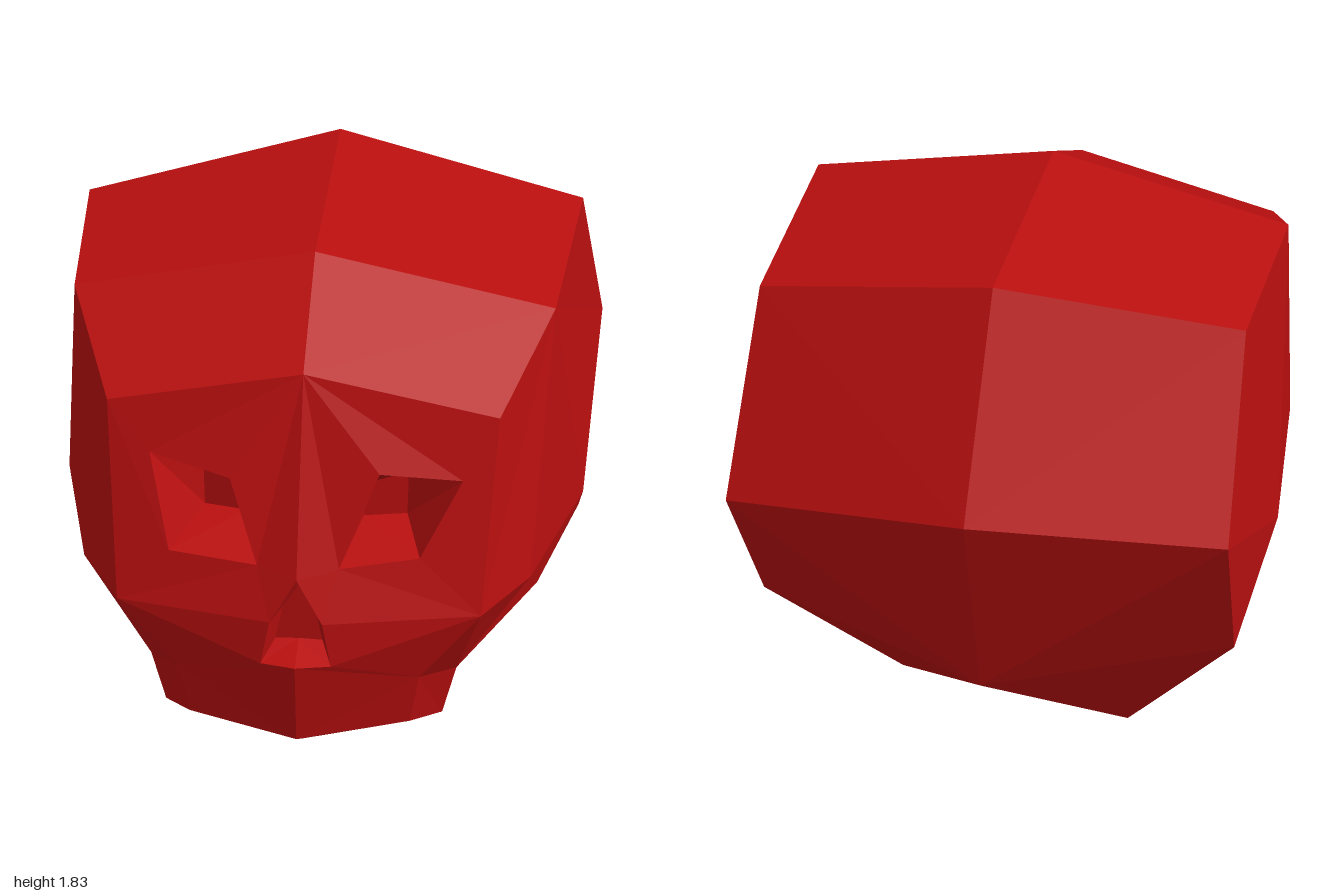
import * as THREE from 'three';

const red = new THREE.MeshStandardMaterial({ color: 0xba0f0f, flatShading: true });
red.name = 'deep red';

// Points on the centre line
const centre = {
  crown: [0, 1.83, 0.29], crownBack: [0, 1.81, -0.58], back: [0, 1.1, -1], lowBack: [0, 0.33, -0.76],
  base: [0, 0.04, -0.24], throat: [0, 0.185, 0.505], underChin: [0, 0.16, 0.7], chin: [0, 0.295, 0.94],
  lip: [0, 0.605, 1], bridge: [0, 0.915, 0.94], brow: [0, 1.585, 0.7],
  noseInTop: [0, 0.85, 0.85], noseInLow: [0, 0.64, 0.85],
};

// Points of one half; the two halves differ slightly
function halfPoints(s) {
  const left = s > 0;
  const p = {
    temple: [0.82, 1.655, 0.29], forehead: [0.67, 1.445, 0.69], cheek: [0.62, 0.76, 0.85],
    crownSide: [0.835, 1.64, left ? -0.49 : -0.38], backSide: [0.865, 1.0, left ? -0.855 : -0.76],
    ear: [0.875, 0.725, -0.09], cheekSide: [0.76, 0.755, 0.56], lowSide: [0.82, 0.44, -0.49],
    hinge: [0.735, 0.457, 0.08], jawTop: [0.52, 0.457, 0.68], baseSide: [0.41, 0, left ? -0.18 : -0.33],
    muzzle: [0.41, 0.51, 0.85], jawFront: [0.375, 0.325, 0.83], jawSide: [0.47, 0.275, 0.67],
    jawBack: left ? [0.35, 0.265, 0.46] : [0.355, 0.235, 0.415],
    noseMid: [0.09, 0.76, 0.963], noseLow: [0.12, 0.6, 0.965],
    noseInMid: [0.055, 0.76, 0.85], noseInSide: [0.08, 0.637, 0.85],
    eyeA: left ? [0.27, 1.265, 0.8] : [0.24, 1.225, 0.805],
    eyeB: left ? [0.55, 1.23, 0.755] : [0.52, 1.28, 0.745],
    eyeC: left ? [0.41, 0.965, 0.835] : [0.445, 0.95, 0.835],
    eyeD: [0.14, 0.94, 0.89],
    inA: [0.2, 1.13, 0.63], inB: [0.35, 1.165, 0.6], inC: [0.345, 1.005, 0.6], inD: [0.2, 1.005, 0.63],
  };
  for (const k in p) p[k][0] *= s;
  return { ...centre, ...p };
}

// Faces of one half, turned away from an inner point or towards a point in a cavity
const parts = [
  { name: 'cranium', ref: [0, 0.9, 0], faces: [
    'temple crown brow forehead', 'temple crownSide crownBack crown', 'crownSide backSide back crownBack',
    'temple forehead cheek cheekSide', 'temple cheekSide ear', 'temple ear backSide', 'temple backSide crownSide',
    'ear backSide lowSide', 'backSide back lowBack', 'backSide lowBack lowSide', 'lowSide lowBack baseSide',
    'baseSide lowBack base', 'ear lowSide hinge', 'hinge lowSide baseSide', 'cheekSide ear jawTop',
    'jawTop ear hinge', 'jawTop hinge baseSide', 'jawTop baseSide jawBack',
    'throat jawBack baseSide', 'throat baseSide base',
  ] },
  { name: 'face', ref: [0, 0.9, 0], faces: [
    'brow bridge eyeD', 'brow eyeD eyeA', 'brow eyeA eyeB', 'brow eyeB forehead', 'forehead eyeB eyeC',
    'forehead eyeC cheek', 'cheek eyeC eyeD', 'cheek eyeD noseMid', 'noseMid eyeD bridge',
    'cheek noseMid noseLow', 'cheek noseLow muzzle', 'cheek muzzle jawTop', 'cheek jawTop cheekSide',
  ] },
  { name: 'jaw', ref: [0, 0.38, 0.6], faces: [
    'muzzle noseLow lip', 'muzzle lip chin', 'muzzle chin jawFront', 'muzzle jawFront jawSide jawTop',
    'chin underChin jawFront', 'jawFront underChin jawSide', 'jawSide underChin throat jawBack',
    'jawTop jawSide jawBack',
  ] },
  { name: 'eyeSocket', cavity: true, ref: [0.32, 1.09, 0.85], faces: [
    'eyeA eyeB inB inA', 'eyeB eyeC inC inB', 'eyeC eyeD inD inC', 'eyeD eyeA inA inD', 'inA inB inC inD',
  ] },
  { name: 'noseCavity', cavity: true, ref: [0, 0.74, 1.05], faces: [
    'bridge noseMid noseInMid noseInTop', 'noseMid noseLow noseInSide noseInMid',
    'noseLow lip noseInLow noseInSide', 'noseInTop noseInMid noseInSide noseInLow',
  ] },
];

function buildPart({ name, ref, cavity, faces }) {
  const positions = [];
  for (const s of [1, -1]) {
    const points = halfPoints(s);
    const target = new THREE.Vector3(ref[0] * s, ref[1], ref[2]);
    for (const face of faces) {
      const v = face.split(' ').map((k) => new THREE.Vector3(...points[k]));
      for (let i = 1; i < v.length - 1; i++) {
        const tri = new THREE.Triangle(v[0], v[i], v[i + 1]);
        const normal = tri.getNormal(new THREE.Vector3());
        const outward = tri.getMidpoint(new THREE.Vector3()).sub(target).dot(normal) > 0;
        const order = outward !== !!cavity ? [tri.a, tri.b, tri.c] : [tri.a, tri.c, tri.b];
        for (const q of order) positions.push(q.x, q.y, q.z);
      }
    }
  }
  const geometry = new THREE.BufferGeometry();
  geometry.setAttribute('position', new THREE.Float32BufferAttribute(positions, 3));
  geometry.computeVertexNormals();
  const mesh = new THREE.Mesh(geometry, red);
  mesh.name = name;
  return mesh;
}

export function createModel() {
  const skull = new THREE.Group();
  skull.name = 'skull';
  for (const part of parts) skull.add(buildPart(part));
  return skull;
}
